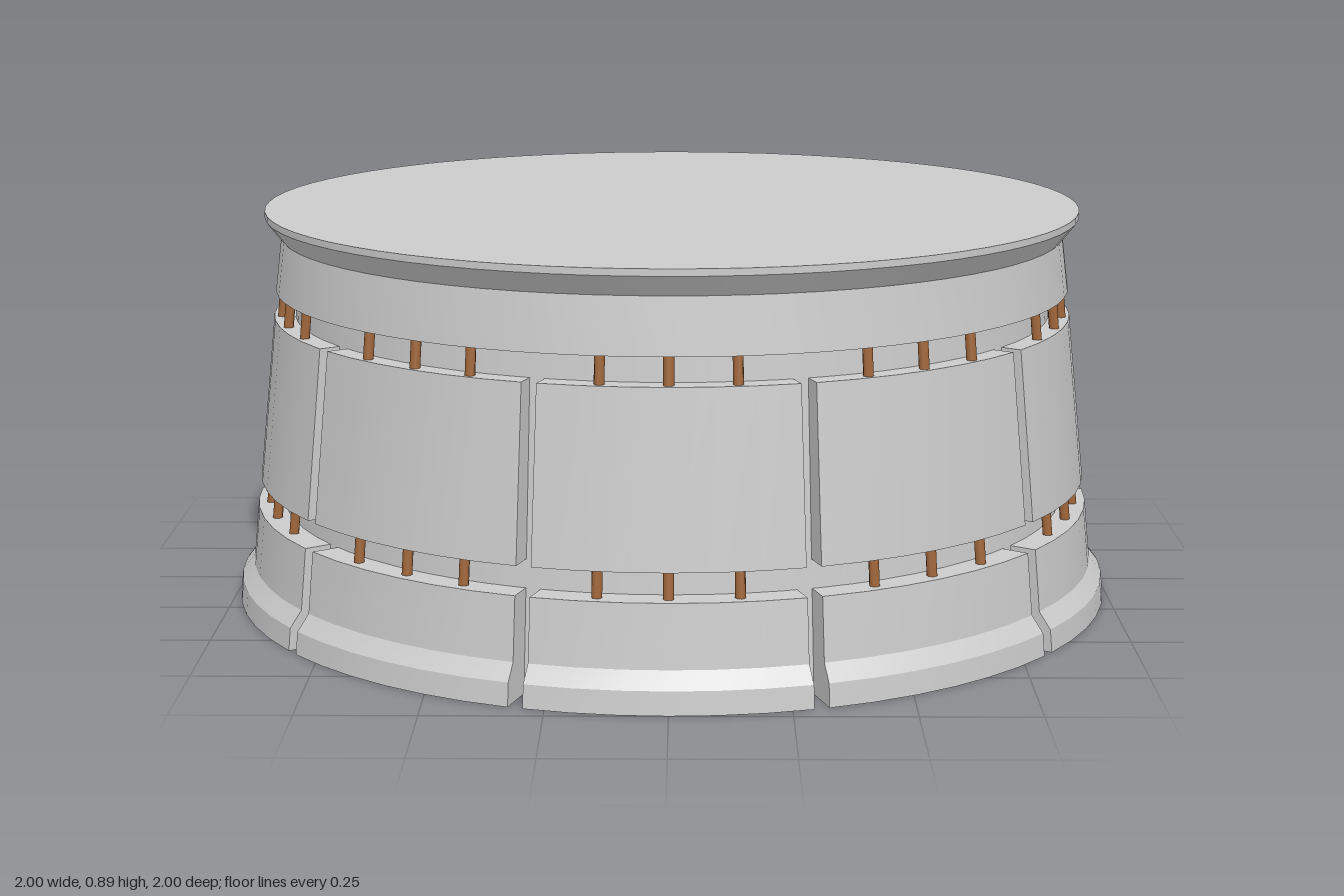
import * as THREE from 'three';
import { toCreasedNormals } from 'three/addons/utils/BufferGeometryUtils.js';

const STEP = Math.PI / 5; // ten plates around the base
const CREASE = 0.3;
const grey = new THREE.MeshStandardMaterial({ color: 0xcccccc });
const brown = new THREE.MeshStandardMaterial({ color: 0xa0663a });

const v2 = (pts) => pts.map(([r, y]) => new THREE.Vector2(r, y));
const coreRadius = (y) => 0.91 - 0.08 * y;

function addMesh(parent, name, geometry, material = grey) {
  const mesh = new THREE.Mesh(geometry, material);
  mesh.name = name;
  parent.add(mesh);
  return mesh;
}

function lathe(pts) {
  return toCreasedNormals(new THREE.LatheGeometry(v2(pts), 72), CREASE);
}

// Curved plate: a closed counter-clockwise (radius, height) profile swept
// between two straight-sided gaps with half widths g0 and g1.
function plateGeometry(profile, centre, g0, g1, segments = 6) {
  const pos = [];
  const point = ([r, y], i) => {
    const a = centre - STEP / 2 + Math.asin(g0 / r);
    const b = centre + STEP / 2 - Math.asin(g1 / r);
    const t = a + ((b - a) * i) / segments;
    return [r * Math.sin(t), y, r * Math.cos(t)];
  };
  const tri = (a, b, c) => pos.push(...a, ...b, ...c);
  profile.forEach((p, j) => {
    const q = profile[(j + 1) % profile.length];
    for (let i = 0; i < segments; i++) {
      const a = point(p, i), b = point(p, i + 1), c = point(q, i + 1), d = point(q, i);
      tri(a, b, c);
      tri(a, c, d);
    }
  });
  // end faces along the gaps
  for (const [a, b, c] of THREE.ShapeUtils.triangulateShape(v2(profile), [])) {
    tri(point(profile[a], 0), point(profile[b], 0), point(profile[c], 0));
    tri(point(profile[a], segments), point(profile[c], segments), point(profile[b], segments));
  }
  const geometry = new THREE.BufferGeometry();
  geometry.setAttribute('position', new THREE.Float32BufferAttribute(pos, 3));
  return toCreasedNormals(geometry, CREASE);
}

// Ring of ten plates; the gaps on the x axis are narrower
function plateRing(name, outer) {
  const group = new THREE.Group();
  group.name = name;
  const y0 = outer[0][1], y1 = outer[outer.length - 1][1];
  const profile = [[coreRadius(y0) - 0.005, y0], ...outer, [coreRadius(y1) - 0.005, y1]];
  const gap = (k) => (k % 5 === 2 ? 0.01 : 0.016); // gap after plate k
  for (let k = 0; k < 10; k++) {
    addMesh(group, 'plate', plateGeometry(profile, k * STEP, gap((k + 9) % 10), gap(k)));
  }
  return group;
}

// Three short pegs per plate, leaning inward with the wall
function pegRing(name, y, radius) {
  const group = new THREE.Group();
  group.name = name;
  const geometry = new THREE.CylinderGeometry(0.011, 0.011, 0.09, 8);
  for (let k = 0; k < 10; k++) {
    for (const offset of [-1, 0, 1]) {
      const t = k * STEP + (offset * Math.PI) / 20;
      const peg = addMesh(group, 'peg', geometry, brown);
      peg.position.set(radius * Math.sin(t), y, radius * Math.cos(t));
      peg.rotation.set(-0.1, t, 0, 'YXZ');
    }
  }
  return group;
}

export function createModel() {
  const model = new THREE.Group();
  model.name = 'drumPedestal';

  // Tapered core behind the plates
  addMesh(model, 'core', lathe([[0, 0], [coreRadius(0), 0], [coreRadius(0.75), 0.75]]));

  // Flared foot plates and the tall wall plates
  model.add(plateRing('footPlates', [[1, 0], [0.995, 0.05], [0.967, 0.085], [0.953, 0.22]]));
  model.add(plateRing('wallPlates', [[0.945, 0.28], [0.905, 0.65]]));

  // Pegs in the two open grooves
  model.add(pegRing('lowerPegs', 0.25, 0.92));
  model.add(pegRing('upperPegs', 0.68, 0.883));

  // Solid upper band with flared rim and flat top
  addMesh(model, 'topBand', lathe([
    [0.84, 0.71], [0.9, 0.71], [0.885, 0.83], [0.92, 0.875], [0.92, 0.89], [0, 0.89],
  ]));

  return model;
}
